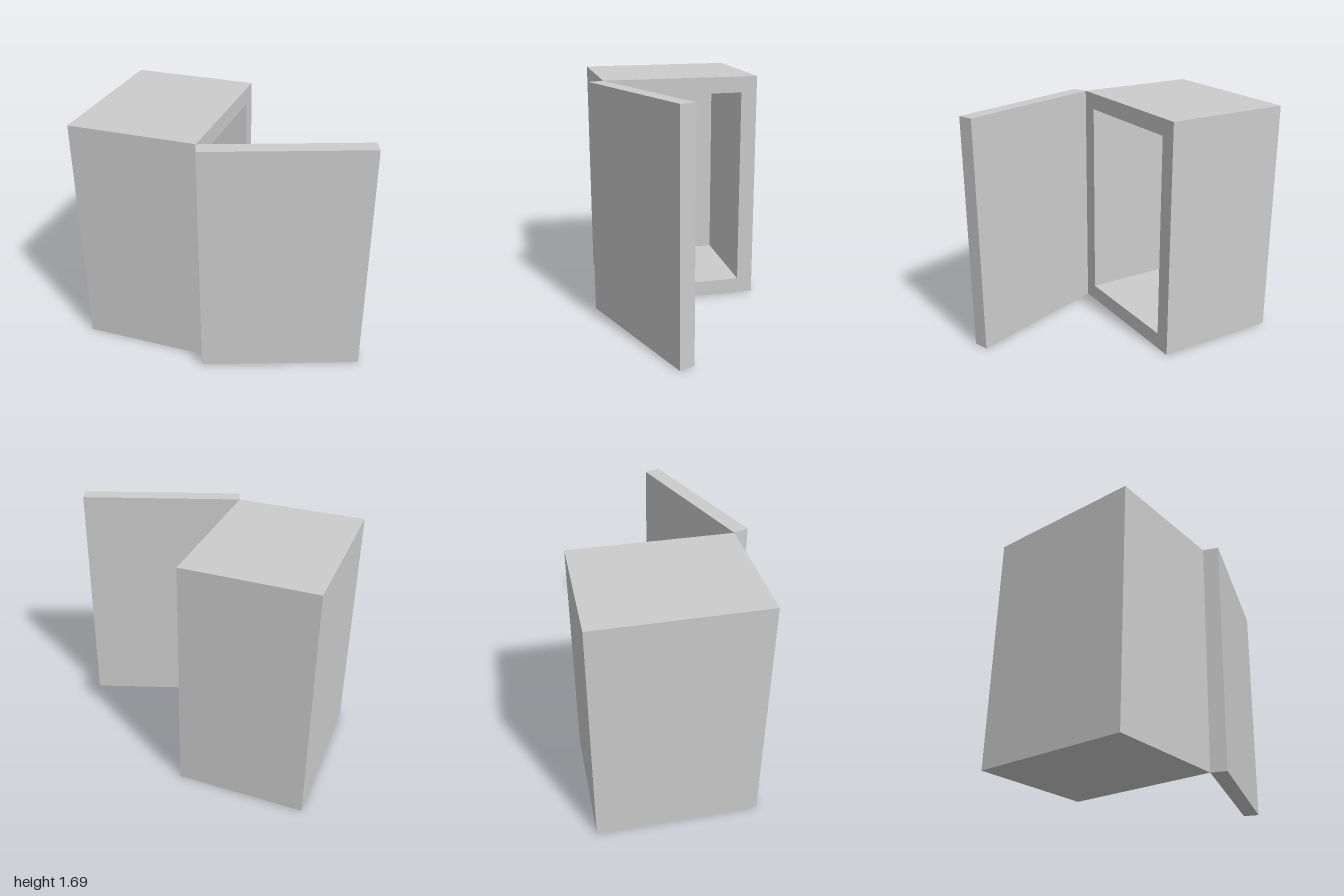
import * as THREE from 'three';

const H = 1.69, W = 0.9, D = 1.129, WALL = 0.117, THICK = 0.112;
const material = new THREE.MeshStandardMaterial({ color: 0xcccccc });

function add(parent, name, geometry, x, y, z) {
  const mesh = new THREE.Mesh(geometry, material);
  mesh.name = name;
  mesh.position.set(x, y, z);
  parent.add(mesh);
  return mesh;
}

// Box without its +x face; inward turns the faces to the inside
function openBox(w, h, d, inward) {
  const box = new THREE.BoxGeometry(w, h, d);
  const index = Array.from(box.index.array).slice(6);
  box.setIndex(inward ? index.reverse() : index);
  const geometry = box.toNonIndexed();
  geometry.computeVertexNormals();
  return geometry;
}

// Flat frame around the opening, facing +x
function frameGeometry() {
  const rect = (Type, w, h) => {
    const r = new Type();
    r.moveTo(-w / 2, -h / 2);
    r.lineTo(w / 2, -h / 2);
    r.lineTo(w / 2, h / 2);
    r.lineTo(-w / 2, h / 2);
    r.closePath();
    return r;
  };
  const shape = rect(THREE.Shape, D, H);
  shape.holes.push(rect(THREE.Path, D - 2 * WALL, H - 2 * WALL));
  return new THREE.ShapeGeometry(shape).rotateY(Math.PI / 2);
}

export function createModel() {
  const model = new THREE.Group();
  model.name = 'cabinet';

  // Hollow body, open towards +x
  const body = new THREE.Group();
  body.name = 'body';
  body.position.set(-0.1, H / 2, -0.617 + D / 2);
  model.add(body);
  add(body, 'outerShell', openBox(W, H, D, false), -W / 2, 0, 0);
  add(body, 'innerCavity', openBox(W - WALL, H - 2 * WALL, D - 2 * WALL, true), -(W - WALL) / 2, 0, 0);
  add(body, 'openingFrame', frameGeometry(), 0, 0, 0);

  // Door swung open about the front edge of the body
  const hinge = new THREE.Group();
  hinge.name = 'doorHinge';
  hinge.position.set(-0.1, 0, 0.512);
  hinge.rotation.y = THREE.MathUtils.degToRad(20);
  model.add(hinge);
  add(hinge, 'door', new THREE.BoxGeometry(D, H, THICK), D / 2, H / 2, THICK / 2);

  return model;
}
